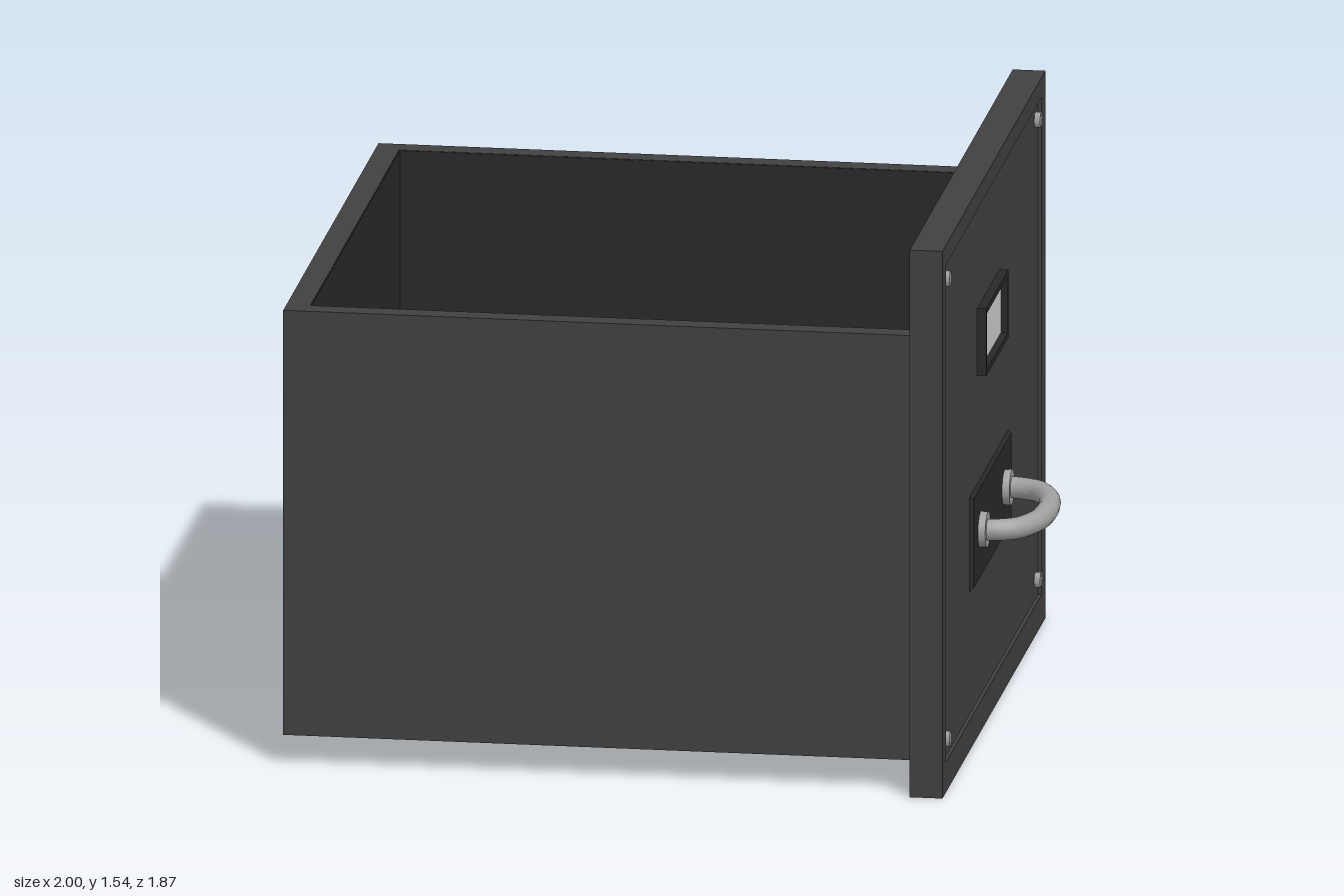
import * as THREE from 'three';

const material = (color) => new THREE.MeshStandardMaterial({ color });

export function createModel() {
  const drawer = new THREE.Group();
  drawer.name = 'drawer';
  const steel = material(0x404040);
  const dark = material(0x282828);
  const metal = material(0xa0a0a0);
  const paper = material(0xcccccc);

  const add = (name, geometry, mat) => {
    const mesh = new THREE.Mesh(geometry, mat);
    mesh.name = name;
    drawer.add(mesh);
    return mesh;
  };
  // Box given by its limits on each axis
  const box = (name, mat, x0, x1, y0, y1, z0, z1) => {
    const mesh = add(name, new THREE.BoxGeometry(x1 - x0, y1 - y0, z1 - z0), mat);
    mesh.position.set((x0 + x1) / 2, (y0 + y1) / 2, (z0 + z1) / 2);
    return mesh;
  };
  // Rectangular frame facing +x; outer and inner are [y0, y1, z0, z1]
  const trace = (path, [y0, y1, z0, z1]) =>
    path.moveTo(-z1, y0).lineTo(-z0, y0).lineTo(-z0, y1).lineTo(-z1, y1).closePath();
  const frame = (name, mat, x0, x1, outer, inner) => {
    const shape = trace(new THREE.Shape(), outer);
    shape.holes.push(trace(new THREE.Path(), inner));
    const geometry = new THREE.ExtrudeGeometry(shape, { depth: x1 - x0, bevelEnabled: false });
    geometry.rotateY(Math.PI / 2).translate(x0, 0, 0);
    return add(name, geometry, mat);
  };
  // Cylinder whose axis runs along x
  const disc = (name, mat, radius, x0, x1, y, z, sides) => {
    const geometry = new THREE.CylinderGeometry(radius, radius, x1 - x0, sides);
    geometry.rotateZ(-Math.PI / 2);
    add(name, geometry, mat).position.set((x0 + x1) / 2, y, z);
  };

  // Open tray
  box('trayFloor', steel, -1, 0.73, 0.085, 0.14, -0.865, 0.86);
  box('backWall', steel, -1, -0.935, 0.14, 1.28, -0.865, 0.86);
  box('rightWall', steel, -0.935, 0.73, 0.14, 1.28, -0.865, -0.805);
  box('leftWall', steel, -0.935, 0.73, 0.14, 1.28, 0.8, 0.86);

  // Dark lining of the inside
  const t = 0.003;
  box('floorLining', dark, -0.935, 0.73, 0.14, 0.14 + t, -0.805, 0.8);
  box('backLining', dark, -0.935, -0.935 + t, 0.14, 1.279, -0.805, 0.8);
  box('rightLining', dark, -0.935, 0.73, 0.14, 1.279, -0.805, -0.805 + t);
  box('leftLining', dark, -0.935, 0.73, 0.14, 1.279, 0.8 - t, 0.8);
  box('panelLining', dark, 0.73 - t, 0.73, 0.14, 1.53, -0.805, 0.8);

  // Front panel with a shallow recessed face
  box('frontPanel', steel, 0.73, 0.81, 0, 1.54, -0.935, 0.93);
  frame('panelRim', steel, 0.81, 0.82, [0, 1.54, -0.935, 0.93], [0.085, 1.485, -0.865, 0.87]);

  // Hexagonal corner bolts
  for (const y of [0.14, 1.435]) {
    for (const z of [-0.815, 0.825]) disc('bolt', metal, 0.022, 0.8, 0.826, y, z, 6);
  }

  // Label holder
  frame('labelFrame', dark, 0.81, 0.835, [1.0, 1.19, -0.17, 0.235], [1.016, 1.174, -0.154, 0.22]);
  box('label', paper, 0.808, 0.816, 1.01, 1.18, -0.16, 0.225);

  // Handle backing plate with slightly sloping edges
  const plate = box('handlePlate', dark, 0.805, 0.82, 0.425, 0.7, -0.33, 0.375);
  const corners = plate.geometry.attributes.position;
  for (let i = 0; i < corners.count; i++) {
    if (corners.getX(i) > 0) {
      corners.setY(i, corners.getY(i) - Math.sign(corners.getY(i)) * 0.012);
      corners.setZ(i, corners.getZ(i) - Math.sign(corners.getZ(i)) * 0.012);
    }
  }
  plate.geometry.computeVertexNormals();

  // Bow handle and its two collars
  const middle = 0.022;
  const half = [[0.81, 0.218], [0.86, 0.217], [0.915, 0.19], [0.955, 0.12], [0.969, 0.04]];
  const points = [
    ...half.map(([x, z]) => new THREE.Vector3(x, 0.57, middle + z)),
    ...half.slice().reverse().map(([x, z]) => new THREE.Vector3(x, 0.57, middle - z)),
  ];
  add('handle', new THREE.TubeGeometry(new THREE.CatmullRomCurve3(points), 48, 0.03, 16), metal);
  for (const side of [-1, 1]) {
    disc('handleCollar', metal, 0.049, 0.81, 0.84, 0.57, middle + side * 0.218, 24);
  }
  return drawer;
}
